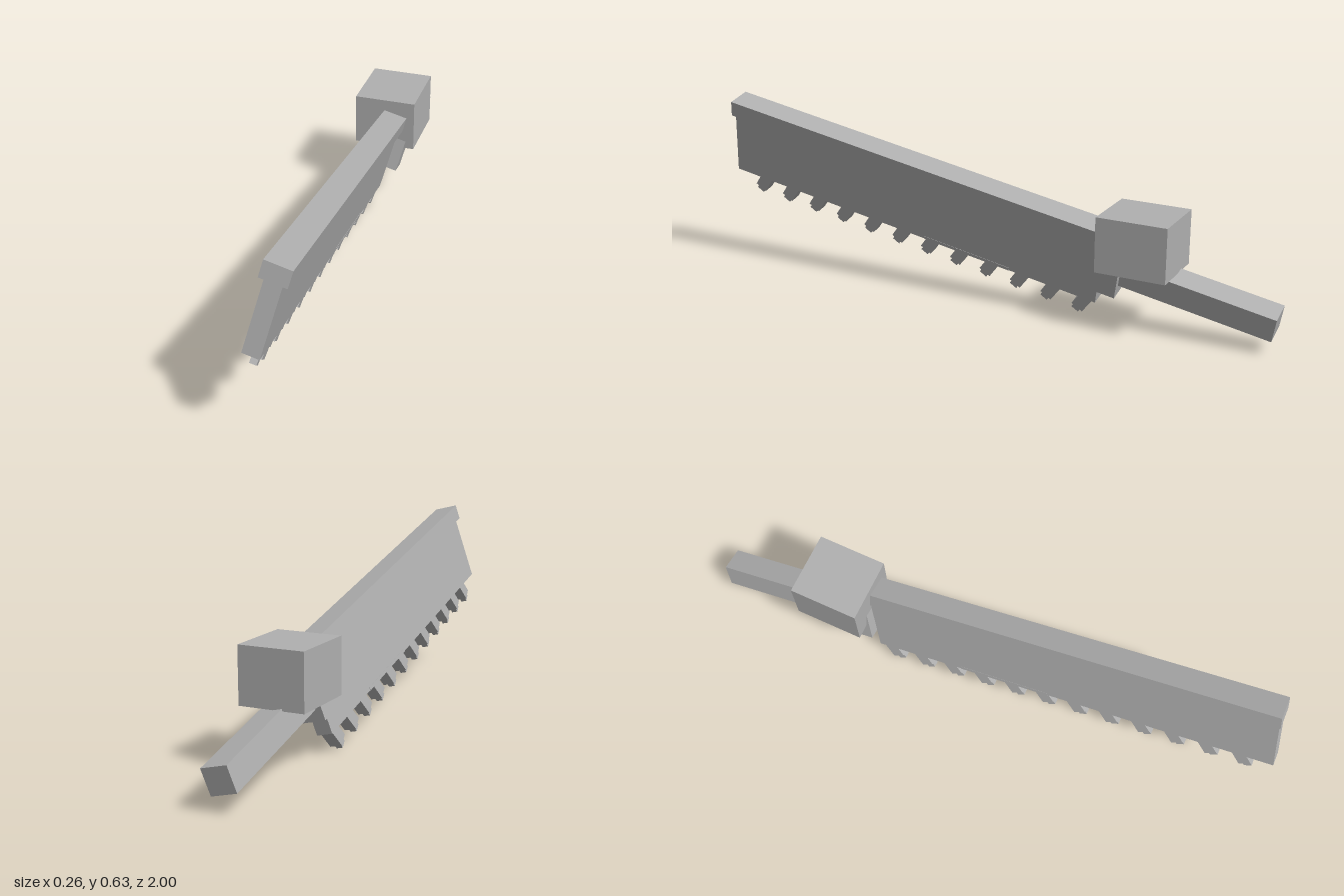
import * as THREE from 'three';

export function createModel() {
  const model = new THREE.Group();
  model.name = 'toothedSword';
  const grey = new THREE.MeshStandardMaterial({ color: 0xb0b0b0 });
  grey.name = 'plain grey';

  // Box given by its width and its y and z ranges, centred on x
  function box(parent, name, width, y0, y1, z0, z1) {
    const mesh = new THREE.Mesh(new THREE.BoxGeometry(width, y1 - y0, z1 - z0), grey);
    mesh.position.set(0, (y0 + y1) / 2, (z0 + z1) / 2);
    mesh.name = name;
    parent.add(mesh);
    return mesh;
  }

  // Upright gripping block
  box(model, 'gripBlock', 0.217, 0.207, 0.39, -0.667, -0.43).position.x = -0.021;

  // The sword leans sideways and rises towards its tip
  const lean = new THREE.Group();
  lean.name = 'sword';
  lean.rotation.set(-0.208, 0, -0.244, 'ZXY');
  model.add(lean);
  const sword = new THREE.Group();
  sword.name = 'swordParts';
  sword.position.x = -0.064;
  lean.add(sword);

  box(sword, 'blade', 0.054, 0.127, 0.363, -0.371, 1.049);
  box(sword, 'spine', 0.085, 0.361, 0.416, -0.371, 1.055);
  box(sword, 'guard', 0.128, 0.204, 0.36, -0.443, -0.371);
  box(sword, 'handle', 0.085, 0.242, 0.328, -0.952, -0.443);
  box(sword, 'edgeRail', 0.056, 0.126, 0.137, -0.055, 0.27);

  // Row of stepped teeth raked forward along the lower edge
  for (let i = 0; i < 12; i++) {
    const tooth = new THREE.Group();
    tooth.name = 'tooth' + (i + 1);
    tooth.position.set(0, 0.127, -0.335 + i * 0.1151);
    tooth.rotation.x = -0.46;
    box(tooth, 'toothBody', 0.041, -0.058, 0.02, -0.022, 0.022);
    box(tooth, 'toothTip', 0.022, -0.079, -0.058, -0.014, 0.014);
    sword.add(tooth);
  }
  return model;
}
